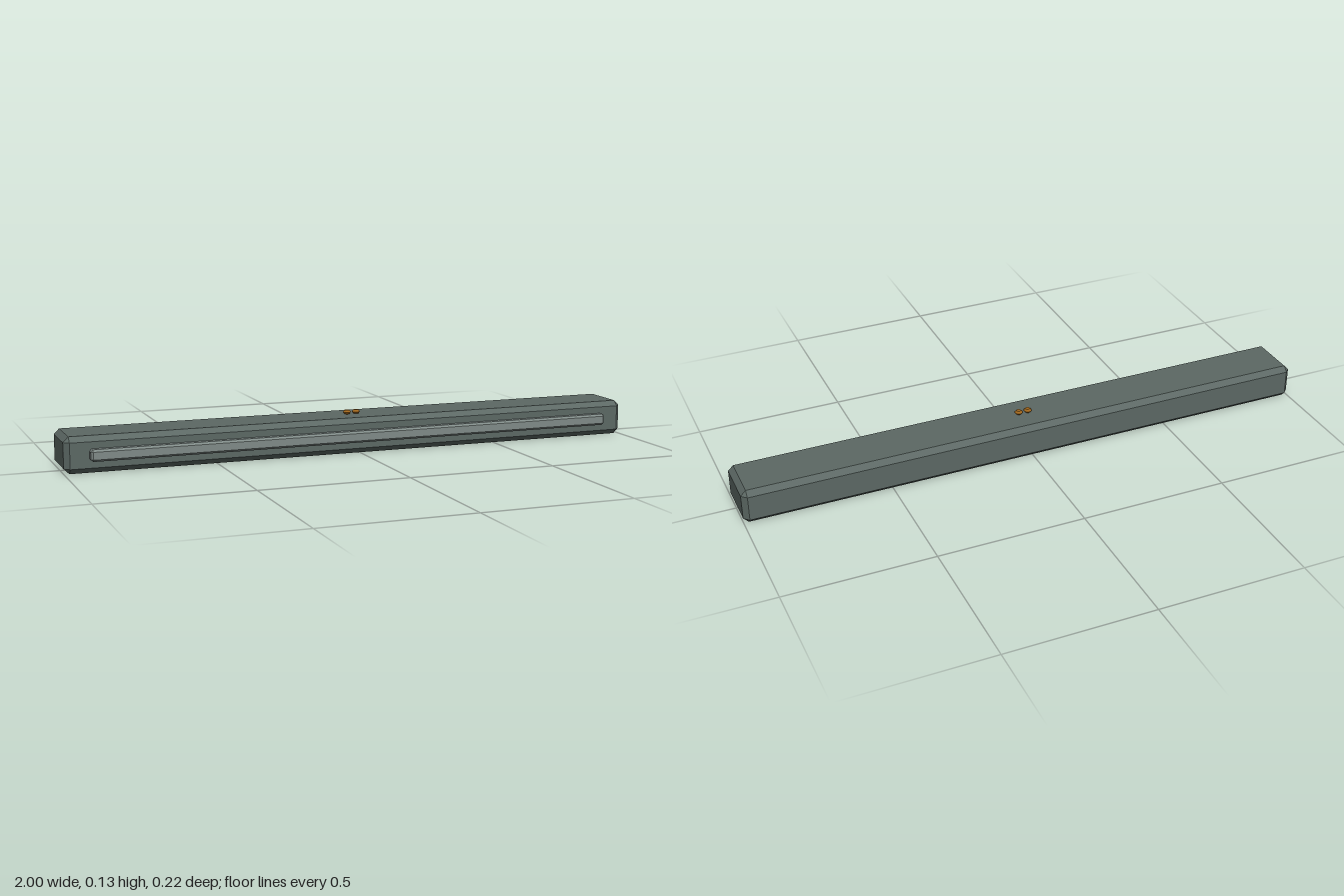
import * as THREE from 'three';
import { ConvexGeometry } from 'three/addons/geometries/ConvexGeometry.js';

const bodyMat = new THREE.MeshStandardMaterial({ color: 0x5c6864 });
bodyMat.name = 'dark grey green';
const railMat = new THREE.MeshStandardMaterial({ color: 0x7f8a87 });
railMat.name = 'light grey';
const knobMat = new THREE.MeshStandardMaterial({ color: 0xa0661c });
knobMat.name = 'bronze';

// Box with every edge cut at 45 degrees
function chamferBox(w, h, d, c) {
  const points = [];
  for (const x of [-w / 2, w / 2])
    for (const y of [-h / 2, h / 2])
      for (const z of [-d / 2, d / 2]) {
        const inX = x - Math.sign(x) * c, inY = y - Math.sign(y) * c, inZ = z - Math.sign(z) * c;
        points.push(
          new THREE.Vector3(x, inY, inZ),
          new THREE.Vector3(inX, y, inZ),
          new THREE.Vector3(inX, inY, z)
        );
      }
  return new ConvexGeometry(points);
}

export function createModel() {
  const model = new THREE.Group();
  model.name = 'longBar';

  const add = (name, geometry, material, x, y, z) => {
    const mesh = new THREE.Mesh(geometry, material);
    mesh.name = name;
    mesh.position.set(x, y, z);
    model.add(mesh);
  };

  // Long bevelled body
  add('body', chamferBox(2, 0.12, 0.191, 0.0175), bodyMat, 0, 0.06, -0.0125);

  // Raised strip along the front, its back sunk into the body
  add('frontRail', chamferBox(1.84, 0.039, 0.034, 0.007), railMat, 0, 0.0605, 0.092);

  // Pair of small flattened knobs on top
  const profile = [[0, -0.007], [0.008, -0.007], [0.014, 0], [0.008, 0.007], [0, 0.007]]
    .map(([r, y]) => new THREE.Vector2(r, y));
  const knob = new THREE.LatheGeometry(profile, 10).toNonIndexed();
  knob.computeVertexNormals();
  for (const side of [1, -1])
    add(side > 0 ? 'leftKnob' : 'rightKnob', knob, knobMat, side * 0.0165, 0.127, -0.012);

  return model;
}
